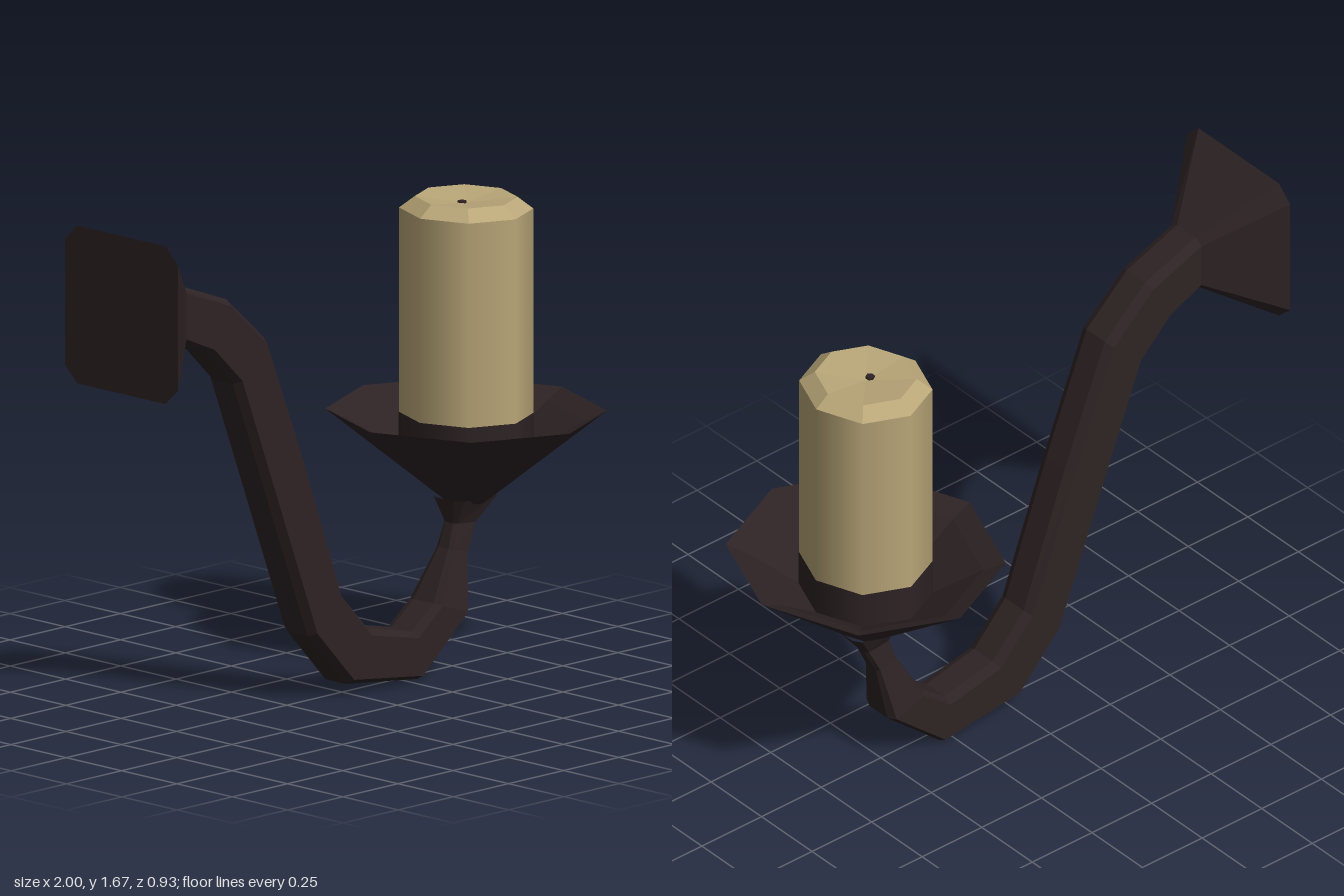
import * as THREE from 'three';

const metal = new THREE.MeshStandardMaterial({ color: 0x2e2324 });
metal.name = 'dark bronze';
const wax = new THREE.MeshStandardMaterial({ color: 0xb9a678 });
wax.name = 'cream wax';

// Faceted normals for hard-edged parts
function facet(geometry) {
  const flat = geometry.index ? geometry.toNonIndexed() : geometry;
  flat.computeVertexNormals();
  return flat;
}

// Bracket sections: upper x, upper y, lower x, lower y, half width
const sections = [
  [-1.0, 1.68, -1.0, 1.16, 0.255],
  [-0.78, 1.485, -0.78, 1.295, 0.075],
  [-0.57, 1.405, -0.66, 1.24, 0.075],
  [-0.4, 1.25, -0.54, 1.12, 0.075],
  [-0.23, 0.82, -0.37, 0.675, 0.075],
  [-0.06, 0.35, -0.2, 0.23, 0.075],
  [0.07, 0.21, -0.03, 0.045, 0.075],
  [0.27, 0.165, 0.295, 0.005, 0.075],
  [0.37, 0.24, 0.51, 0.19, 0.075],
  [0.46, 0.4, 0.54, 0.38, 0.037],
  [0.485, 0.48, 0.585, 0.47, 0.03],
  [0.465, 0.56, 0.655, 0.56, 0.07],
];

// Chamfered rectangle spanning each section, joined in a loop
function bracketGeometry() {
  const positions = [];
  const index = [];
  for (const [ux, uy, lx, ly, w] of sections) {
    const cut = 0.1; // chamfer along the height, as a share of it
    const inner = w * (w > 0.2 ? 0.78 : 0.6);
    const ring = [
      [0, -inner], [0, inner], [cut, w], [1 - cut, w],
      [1, inner], [1, -inner], [1 - cut, -w], [cut, -w],
    ];
    for (const [t, z] of ring) {
      positions.push(ux + (lx - ux) * t, uy + (ly - uy) * t, z);
    }
  }
  for (let i = 0; i < sections.length - 1; i++) {
    for (let j = 0; j < 8; j++) {
      const a = i * 8 + j;
      const b = i * 8 + ((j + 1) % 8);
      index.push(a, b, b + 8, a, b + 8, a + 8);
    }
  }
  // Flat wall face
  for (let k = 1; k < 7; k++) index.push(0, k + 1, k);
  const geometry = new THREE.BufferGeometry();
  geometry.setAttribute('position', new THREE.Float32BufferAttribute(positions, 3));
  geometry.setIndex(index);
  return facet(geometry);
}

// Eight-sided turned shape from a profile of [radius, y], bottom outside first
function turned(profile) {
  const points = profile.map(([r, y]) => new THREE.Vector2(r, y));
  return facet(new THREE.LatheGeometry(points, 8));
}

export function createModel() {
  const model = new THREE.Group();
  model.name = 'wallCandleSconce';
  const add = (parent, name, geometry, material) => {
    const mesh = new THREE.Mesh(geometry, material);
    mesh.name = name;
    parent.add(mesh);
    return mesh;
  };

  add(model, 'wallBracketArm', bracketGeometry(), metal);

  // Drip pan and candle share one upright axis
  const holder = new THREE.Group();
  holder.name = 'candleHolder';
  holder.position.x = 0.563;
  holder.scale.x = 0.935;
  model.add(holder);

  add(holder, 'dripPan', turned([
    [0, 0.54], [0.07, 0.54], [0.466, 0.838], [0.39, 0.805], [0.2, 0.69], [0, 0.69],
  ]), metal);

  // Dark socket around the candle foot
  const socket = new THREE.CylinderGeometry(0.224, 0.224, 0.15, 8, 1, true);
  socket.translate(0, 0.755, 0);
  add(holder, 'candleSocket', socket, metal);

  // Smooth-sided wax column
  const column = new THREE.CylinderGeometry(0.222, 0.222, 0.7, 8, 1, true);
  column.translate(0, 1.152, 0);
  add(holder, 'candleBody', column, wax);

  // Bevelled, slightly hollow top
  add(holder, 'candleTop', turned([[0.222, 1.502], [0.17, 1.54], [0, 1.52]]), wax);

  const wick = new THREE.CylinderGeometry(0.016, 0.016, 0.008, 6);
  wick.translate(-0.02, 1.525, 0);
  add(holder, 'wick', wick, metal);

  return model;
}
